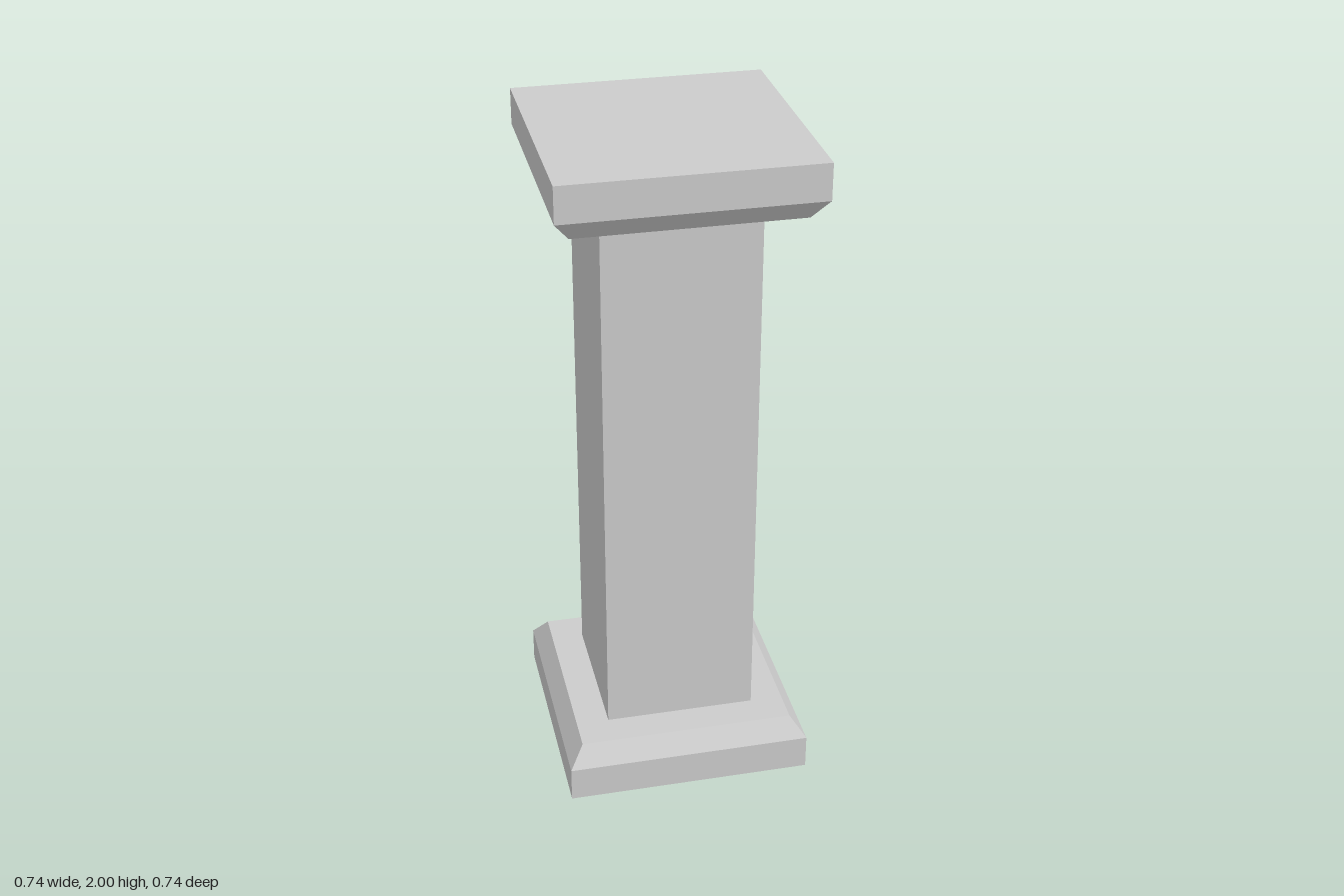
import * as THREE from 'three';

const HEIGHT = 2;
const SLAB = 0.168; // height of plinth and capital
const material = new THREE.MeshStandardMaterial({ color: 0xcccccc, flatShading: true });

// Square slab with a chamfered upper edge, turned from a four-sided profile
function chamferedSlab(name) {
  const profile = [[0, 0], [0.368, 0], [0.368, 0.107], [0.324, SLAB], [0, SLAB]]
    .map(([half, y]) => new THREE.Vector2(half * Math.SQRT2, y));
  const geometry = new THREE.LatheGeometry(profile, 4).rotateY(Math.PI / 4).toNonIndexed();
  geometry.computeVertexNormals();
  const mesh = new THREE.Mesh(geometry, material);
  mesh.name = name;
  return mesh;
}

export function createModel() {
  const pillar = new THREE.Group();
  pillar.name = 'pillar';

  // Plinth on the ground
  const plinth = chamferedSlab('plinth');

  // Square shaft between the slabs
  const shaft = new THREE.Mesh(new THREE.BoxGeometry(0.452, HEIGHT - 2 * SLAB, 0.452), material);
  shaft.name = 'shaft';
  shaft.position.y = HEIGHT / 2;

  // Capital: the same slab upside down
  const capital = chamferedSlab('capital');
  capital.rotation.x = Math.PI;
  capital.position.y = HEIGHT;

  pillar.add(plinth, shaft, capital);
  return pillar;
}
